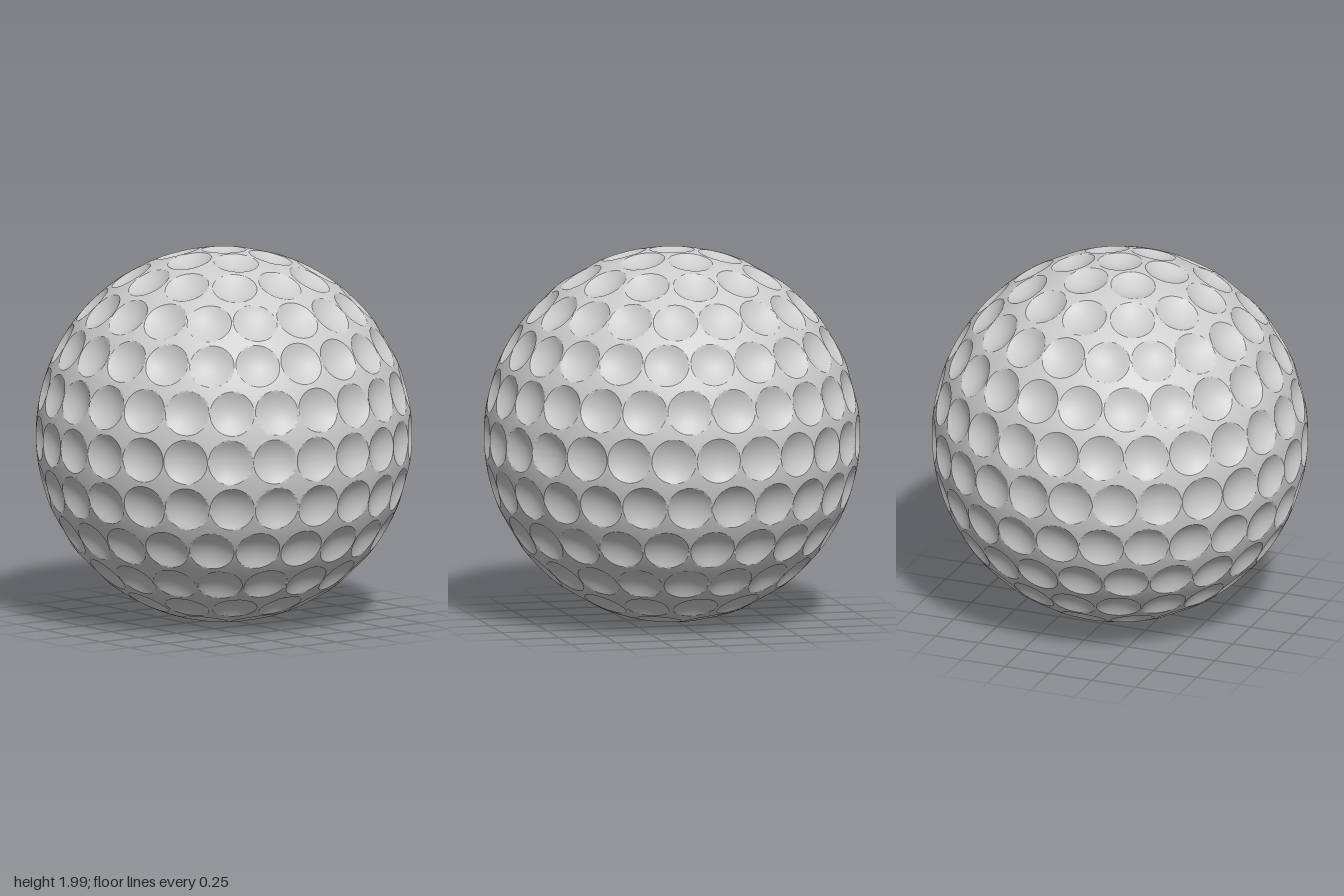
import * as THREE from 'three';
import { toCreasedNormals } from 'three/addons/utils/BufferGeometryUtils.js';

const RIM = THREE.MathUtils.degToRad(6.8); // angular radius of a dimple
const DEPTH = 0.034;                       // bowl depth below the rim plane
const SNAP = 0.0065;                       // vertices this close to a rim slide onto it

// Dimple centres: rings every 15 degrees from the top pole to the bottom one
function dimpleCentres() {
  const counts = [1, 6, 12, 18, 22, 25, 26, 25, 22, 18, 12, 6, 1];
  const turns = [0, 52, 0, 13, 0, 8.8, 0, 8.8, 0, 8.3, 0, 30, 0]; // start angle of each ring
  const centres = [];
  counts.forEach((count, ring) => {
    const polar = THREE.MathUtils.degToRad(ring * 15);
    for (let i = 0; i < count; i++) {
      const a = THREE.MathUtils.degToRad(turns[ring]) + (i / count) * Math.PI * 2;
      centres.push(new THREE.Vector3(
        Math.sin(polar) * Math.cos(a), Math.cos(polar), Math.sin(polar) * Math.sin(a)));
    }
  });
  return centres;
}

export function createModel() {
  const group = new THREE.Group();
  group.name = 'dimpledBall';

  // Evenly divided sphere, pressed in at every dimple
  const sphere = new THREE.IcosahedronGeometry(1, 80);
  const pos = sphere.attributes.position;
  const centres = dimpleCentres();
  const reach = Math.cos(RIM + SNAP);
  const p = new THREE.Vector3();
  const side = new THREE.Vector3();

  for (let i = 0; i < pos.count; i++) {
    p.fromBufferAttribute(pos, i).normalize();
    for (const c of centres) {
      const d = p.dot(c);
      if (d < reach) continue;
      const angle = Math.acos(Math.min(1, d));
      if (Math.abs(angle - RIM) < SNAP) {
        // Slide along the surface onto the rim circle
        side.copy(p).addScaledVector(c, -d).normalize();
        p.copy(c).multiplyScalar(Math.cos(RIM)).addScaledVector(side, Math.sin(RIM));
      } else {
        // Shallow bowl below the rim plane
        const t = Math.tan(angle) / Math.tan(RIM);
        p.multiplyScalar(Math.cos(RIM) / d).addScaledVector(c, -DEPTH * (1 - t * t));
      }
      break;
    }
    pos.setXYZ(i, p.x, p.y, p.z);
  }
  sphere.deleteAttribute('uv');
  sphere.deleteAttribute('normal');

  // Smooth surface with crisp dimple rims
  const ball = new THREE.Mesh(
    toCreasedNormals(sphere, THREE.MathUtils.degToRad(20)),
    new THREE.MeshStandardMaterial({ color: 0xcccccc }));
  ball.name = 'ball';
  ball.position.y = Math.cos(RIM); // rests on the rim of the lowest dimple
  group.add(ball);
  return group;
}
